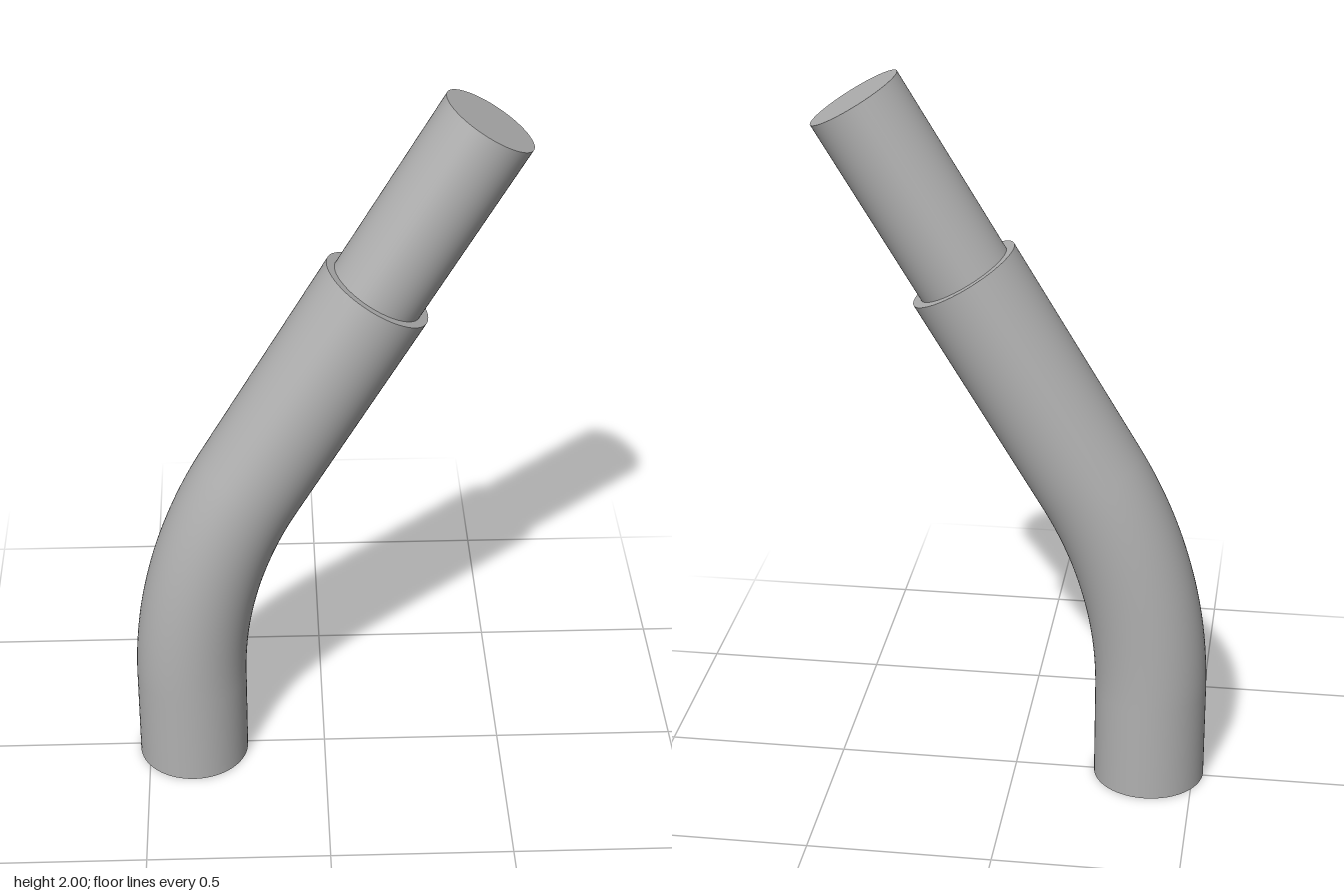
import * as THREE from 'three';

const BEND = THREE.MathUtils.degToRad(30.8);
const RADIUS = 1.235;      // bend radius of the centre line
const RISE = 0.27;         // straight length below the bend
const ARC = RADIUS * BEND;
const REACH = 0.661;       // straight length above the bend

// Centre line: straight rise, circular bend, straight reach
class BentPath extends THREE.Curve {
  getPoint(t, target = new THREE.Vector3()) {
    const s = t * (RISE + ARC + REACH);
    if (s < RISE) return target.set(0, s, 0);
    const a = Math.min((s - RISE) / RADIUS, BEND);
    const rest = Math.max(s - RISE - ARC, 0);
    return target.set(
      RADIUS * (1 - Math.cos(a)) + rest * Math.sin(a),
      RISE + RADIUS * Math.sin(a) + rest * Math.cos(a), 0);
  }
}

export function createModel() {
  const model = new THREE.Group();
  const grey = new THREE.MeshStandardMaterial({ color: 0xb0b0b0 });
  grey.name = 'grey';

  const add = (name, geometry, parent) => {
    const mesh = new THREE.Mesh(geometry, grey);
    mesh.name = name;
    parent.add(mesh);
    return mesh;
  };

  // Everything lies in one plane, turned slightly about the upright
  const pipe = new THREE.Group();
  pipe.name = 'bentPipe';
  pipe.position.set(-0.375, 0, 0.011);
  pipe.rotation.y = 0.043;
  model.add(pipe);

  // Outer sleeve with its bottom end
  const path = new BentPath();
  add('outerSleeve', new THREE.TubeGeometry(path, 120, 0.154, 64), pipe);
  add('bottomEnd', new THREE.CircleGeometry(0.154, 64).rotateX(Math.PI / 2), pipe);

  // Shoulder and narrower tube, aligned with the upper straight
  const upper = new THREE.Group();
  upper.name = 'upperEnd';
  upper.position.copy(path.getPoint(1));
  upper.rotation.z = -BEND;
  pipe.add(upper);
  add('shoulder', new THREE.RingGeometry(0.13, 0.154, 64).rotateX(-Math.PI / 2), upper);
  add('innerTube', new THREE.CylinderGeometry(0.13, 0.13, 0.5415, 64).translate(0, 0.5415 / 2, 0), upper);

  return model;
}
